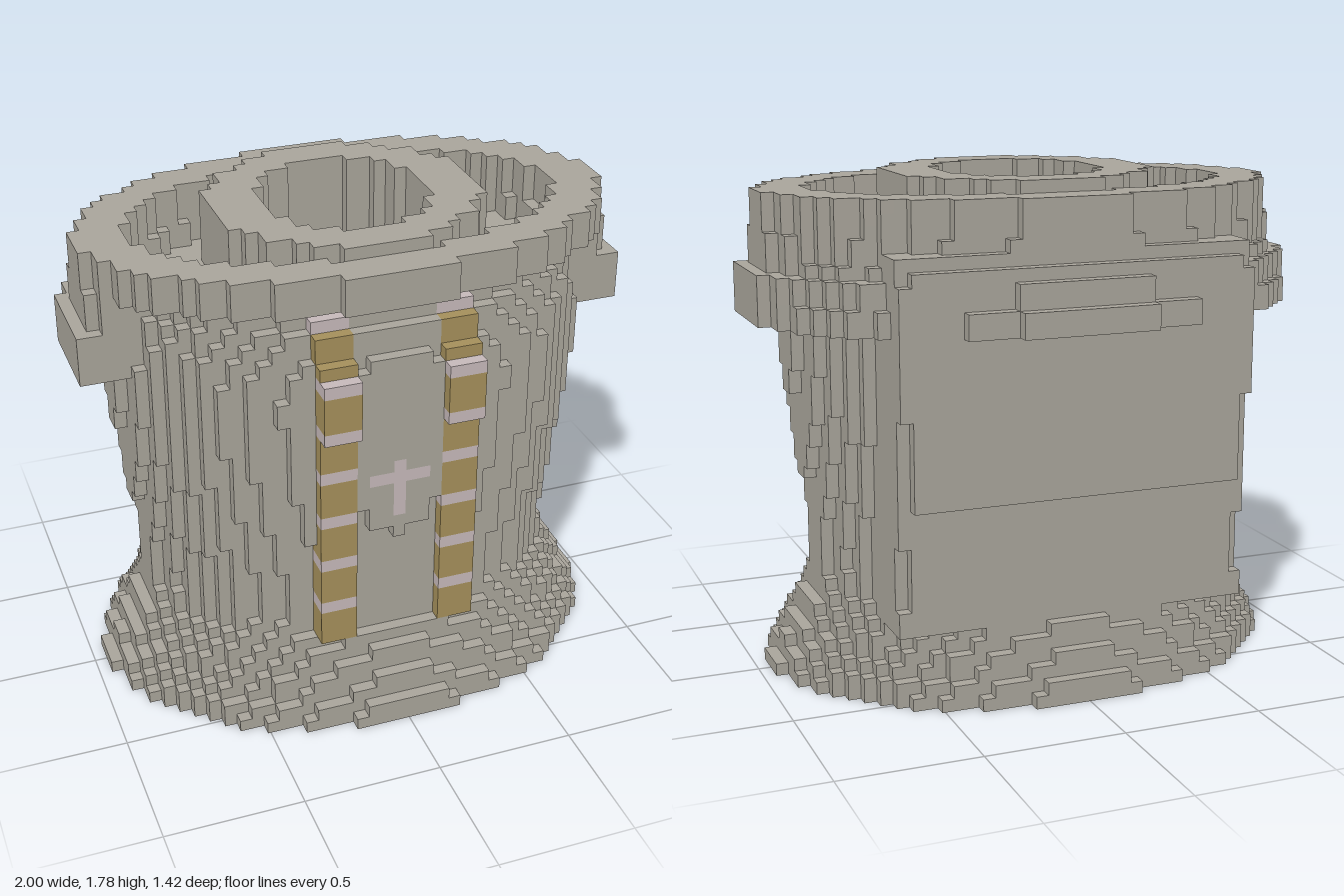
import * as THREE from 'three';

const V = 2 / 45;                    // size of one cube
const NX = 22, NY = 40, NZ = 16;     // x cells -22..22, y rows 0..39, z cells -16..15

const stone = new THREE.MeshStandardMaterial({ color: 0xa9a59b });
stone.name = 'stoneGrey';
const gold = new THREE.MeshStandardMaterial({ color: 0xa5905b });
gold.name = 'dullGold';
const pale = new THREE.MeshStandardMaterial({ color: 0xc6b9ba });
pale.name = 'palePink';

// Piecewise linear curve through [row, value] points
function curve(points, t) {
  if (t <= points[0][0]) return points[0][1];
  for (let k = 1; k < points.length; k++) {
    const [t0, v0] = points[k - 1], [t1, v1] = points[k];
    if (t <= t1) return v0 + (v1 - v0) * (t - t0) / (t1 - t0);
  }
  return points[points.length - 1][1];
}

const inOval = (x, z, a, b, n = 2) => Math.abs(x / a) ** n + Math.abs(z / b) ** n <= 1;

// Half width and half depth of the torso by row
const WIDTH = [[0.5, 21.1], [2, 20.3], [4, 19.2], [6, 18.1], [8, 17.4], [10, 17.1], [13, 17.4],
  [16.2, 18], [23, 19], [28, 19.4], [33, 19], [36, 18]];
const DEPTH = [[0.5, 15.95], [1.5, 15.7], [2.5, 14.9], [3.5, 14.6], [5.5, 13.6], [6.5, 12.9], [7.5, 12.3],
  [11, 12.1], [16.2, 12.5], [24, 13], [30, 13], [31.5, 12.6], [33.5, 11.7], [34.5, 10.8], [35.5, 10.2]];

function inTorso(x, j, z) {
  if (j > 35) return false;
  const a = curve(WIDTH, j + 0.5), b = curve(DEPTH, j + 0.5);
  let solid = inOval(x, z, a, b);
  // Squarer back with a flat panel
  if (z < 0 && j >= 6 && j < 35) {
    const limit = j >= 16 && j < 34 ? 14 : 13;
    if (z > -limit && Math.abs(x) <= 14.5 && inOval(x, z, a, 16, 3)) solid = true;
  }
  if (!solid) return false;
  // Hollow inside, with a deck at the top and a recess round the foot
  if (j < 3) return !inOval(x, z, 18.3, 13.2);
  if (j < 32) return !inOval(x, z, 14.3, 9.3);
  if (j >= 34) return !inOval(x, z, 17, 9.6);
  return !inOval(x, z, 6.75, 7.1);
}

// Shoulder ledge round the sides and back
function inLedge(x, j, z) {
  if (j < 29 || j > 35 || z > 4) return false;
  const b = j < 31 ? 15.95 : j < 33 ? 14.9 : j < 34 ? 13.9 : 13;
  return inOval(x, z, j < 33 ? 22.8 : 21.5, b) && !inOval(x, z, 17.5, 10);
}

const inRim = (x, j, z) => j >= 36 && j <= 38 && inOval(x, z, 21.35, 12.77) && !inOval(x, z, 17.5, 9.8);
const inCollar = (x, j, z) => j >= 33 && inOval(x, z, 10.7, 9.9) && !inOval(x, z, 6.75, 7.1);
const inFootRing = (x, j, z) => j < 4 && inOval(x, z, 16.9, 11.7) && !inOval(x, z, 14.3, 9.3);

// Two straps that follow the chest, with a raised clasp
function inStrap(x, j, z) {
  if (Math.abs(x) < 4 || Math.abs(x) > 6 || j < 7 || j > 34) return false;
  const layer = j < 26 ? 12 : j < 31 ? 13 : j < 32 ? 12 : j < 34 ? 11 : 10;
  return z > layer - 1 && z < layer + 1;
}
const isBand = (j) => j % 4 === 2;

// Small cross set into the chest
const inCross = (x, j, z) => z === 12.5 &&
  ((x === 0 && j >= 18 && j <= 22) || (j === 21 && Math.abs(x) <= 2));

// Earlier parts take a cell before later ones
const PARTS = [
  ['strapBands', pale, (x, j, z) => isBand(j) && inStrap(x, j, z)],
  ['straps', gold, inStrap],
  ['chestCross', pale, inCross],
  ['footRing', gold, inFootRing],
  ['collar', stone, inCollar],
  ['rim', stone, inRim],
  ['shoulderLedge', stone, inLedge],
  ['torso', stone, inTorso],
];

const owner = (i, j, k) => (Math.abs(i) > NX || j < 0 || j >= NY || k < -NZ || k >= NZ)
  ? -1 : PARTS.findIndex((p) => p[2](i, j, k + 0.5));

export function createModel() {
  const group = new THREE.Group();

  // Fill the grid once
  const cells = new Map();
  const key = (i, j, k) => ((i + 40) * 100 + j + 10) * 100 + k + 40;
  for (let i = -NX; i <= NX; i++)
    for (let j = 0; j < NY; j++)
      for (let k = -NZ; k < NZ; k++) {
        const p = owner(i, j, k);
        if (p >= 0) cells.set(key(i, j, k), [p, i, j, k]);
      }

  // Give each part only the cube faces that are open to the air
  const positions = PARTS.map(() => []);
  const normals = PARTS.map(() => []);
  const corners = [[0, 0], [1, 0], [1, 1], [0, 0], [1, 1], [0, 1]];
  for (const [p, i, j, k] of cells.values()) {
    for (let axis = 0; axis < 3; axis++) {
      for (const side of [-1, 1]) {
        const n = [0, 0, 0];
        n[axis] = side;
        if (cells.has(key(i + n[0], j + n[1], k + n[2]))) continue;
        const u = (axis + 1) % 3, w = (axis + 2) % 3;
        for (const [s, t] of corners) {
          const c = [i - 0.5, j, k];
          c[axis] += side > 0 ? 1 : 0;
          c[u] += side > 0 ? s : t;
          c[w] += side > 0 ? t : s;
          positions[p].push(c[0] * V, c[1] * V, c[2] * V);
          normals[p].push(...n);
        }
      }
    }
  }

  PARTS.forEach(([name, material], p) => {
    const geometry = new THREE.BufferGeometry();
    geometry.setAttribute('position', new THREE.Float32BufferAttribute(positions[p], 3));
    geometry.setAttribute('normal', new THREE.Float32BufferAttribute(normals[p], 3));
    const mesh = new THREE.Mesh(geometry, material);
    mesh.name = name;
    group.add(mesh);
  });
  return group;
}
